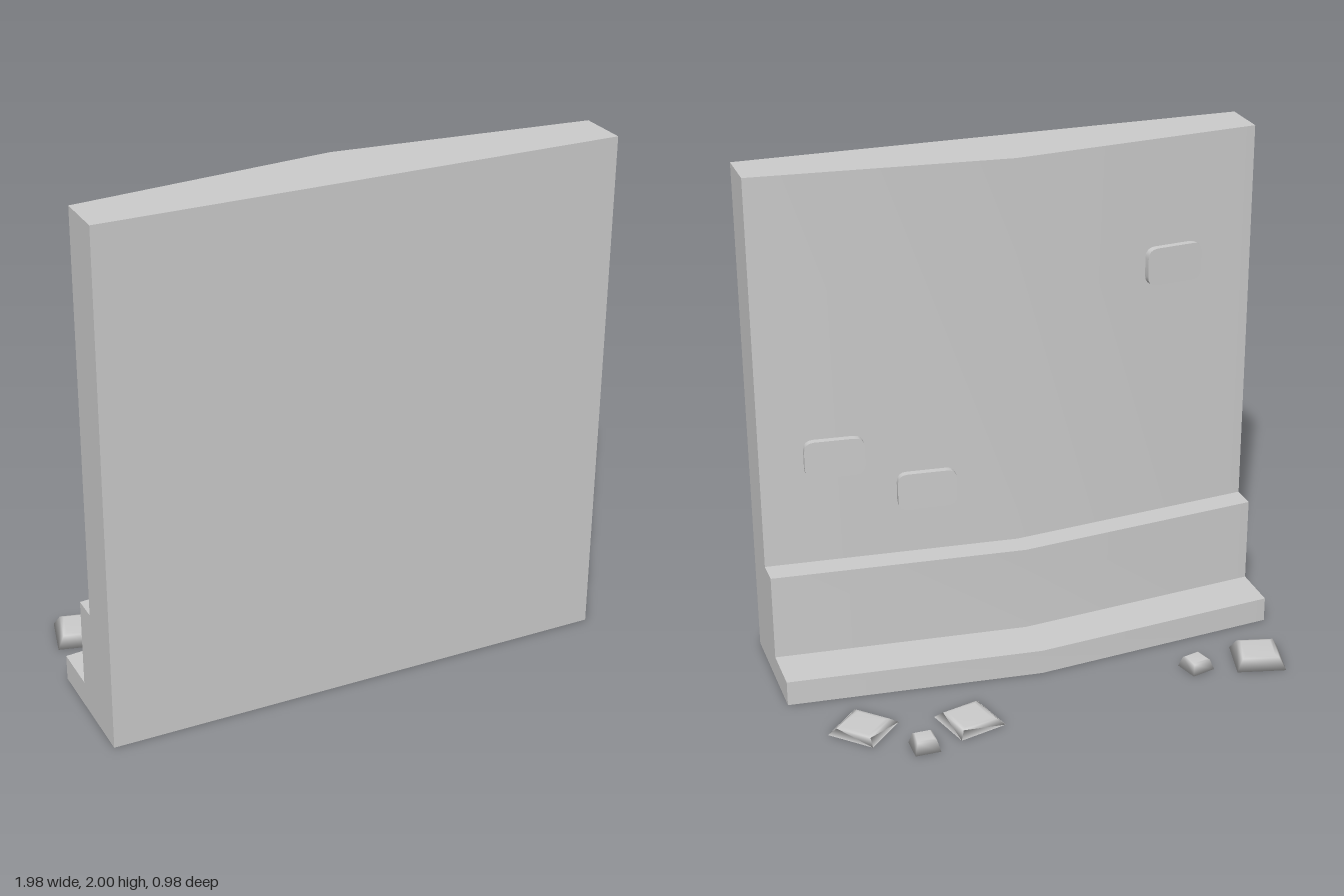
import * as THREE from 'three';
import { toCreasedNormals } from 'three/addons/utils/BufferGeometryUtils.js';

const HALF = 0.99, FRONT = 0.49, BEND = 0.095;
const material = new THREE.MeshStandardMaterial({ color: 0xcccccc });

function add(group, name, geometry) {
  const mesh = new THREE.Mesh(geometry, material);
  mesh.name = name;
  group.add(mesh);
  return mesh;
}

// Wall course with a flat front and a back that bulges at the middle
function course(y0, y1, backZ) {
  const plan = new THREE.Shape([
    [-HALF, FRONT], [-HALF, backZ], [0, backZ - BEND], [HALF, backZ], [HALF, FRONT],
  ].map(([x, z]) => new THREE.Vector2(x, z)));
  const geometry = new THREE.ExtrudeGeometry(plan, { depth: y1 - y0, bevelEnabled: false });
  geometry.rotateX(Math.PI / 2).translate(0, y1, 0);
  return toCreasedNormals(geometry, 0.4);
}

// Flat brick with rounded corners
function brickGeometry(w, h, r, depth) {
  const x = w / 2, y = h / 2;
  const s = new THREE.Shape();
  s.moveTo(-x + r, -y);
  s.lineTo(x - r, -y);
  s.quadraticCurveTo(x, -y, x, -y + r);
  s.lineTo(x, y - r);
  s.quadraticCurveTo(x, y, x - r, y);
  s.lineTo(-x + r, y);
  s.quadraticCurveTo(-x, y, -x, y - r);
  s.lineTo(-x, -y + r);
  s.quadraticCurveTo(-x, -y, -x + r, -y);
  const geometry = new THREE.ExtrudeGeometry(s, { depth, bevelEnabled: false, curveSegments: 4 });
  return toCreasedNormals(geometry, 0.6);
}

// Low four-sided stone with sloping sides, smooth shaded
function stoneGeometry(size, h) {
  const r = size / Math.SQRT2;
  const inset = Math.min(0.035, r * 0.25);
  const profile = [[0, 0], [r, 0], [r - inset, h * 0.9], [r - inset * 1.6, h], [0, h]]
    .map(([x, y]) => new THREE.Vector2(x, y));
  return new THREE.LatheGeometry(profile, 4).rotateY(Math.PI / 4);
}

export function createModel() {
  const model = new THREE.Group();
  model.name = 'wallSegment';

  // Stepped wall, from the foot up
  add(model, 'footing', course(0, 0.1, 0));
  add(model, 'plinth', course(0.1, 0.445, 0.195));
  add(model, 'wall', course(0.445, 2, 0.295));

  // Bricks standing proud of the back face
  const brick = brickGeometry(0.23, 0.15, 0.04, 0.045);
  const slope = BEND / HALF;
  for (const [x, y] of [[0.71, 0.885], [0.36, 0.712], [-0.652, 1.5]]) {
    const mesh = add(model, 'brick', brick);
    mesh.position.set(x, y, 0.295 - BEND + Math.abs(x) * slope - 0.027);
    mesh.rotation.y = -Math.sign(x) * Math.atan(slope);
  }

  // Fallen stones behind the wall: x, z, size, height, turn in degrees
  const stones = [
    [-0.838, -0.27, 0.192, 0.05, -14],
    [-0.584, -0.251, 0.1, 0.045, 15],
    [0.369, -0.329, 0.195, 0.026, 15],
    [0.579, -0.444, 0.098, 0.05, 0],
    [0.76, -0.25, 0.193, 0.024, 45],
  ];
  for (const [x, z, size, h, turn] of stones) {
    const mesh = add(model, 'stone', stoneGeometry(size, h));
    mesh.position.set(x, 0, z);
    mesh.rotation.y = THREE.MathUtils.degToRad(turn);
  }
  return model;
}
